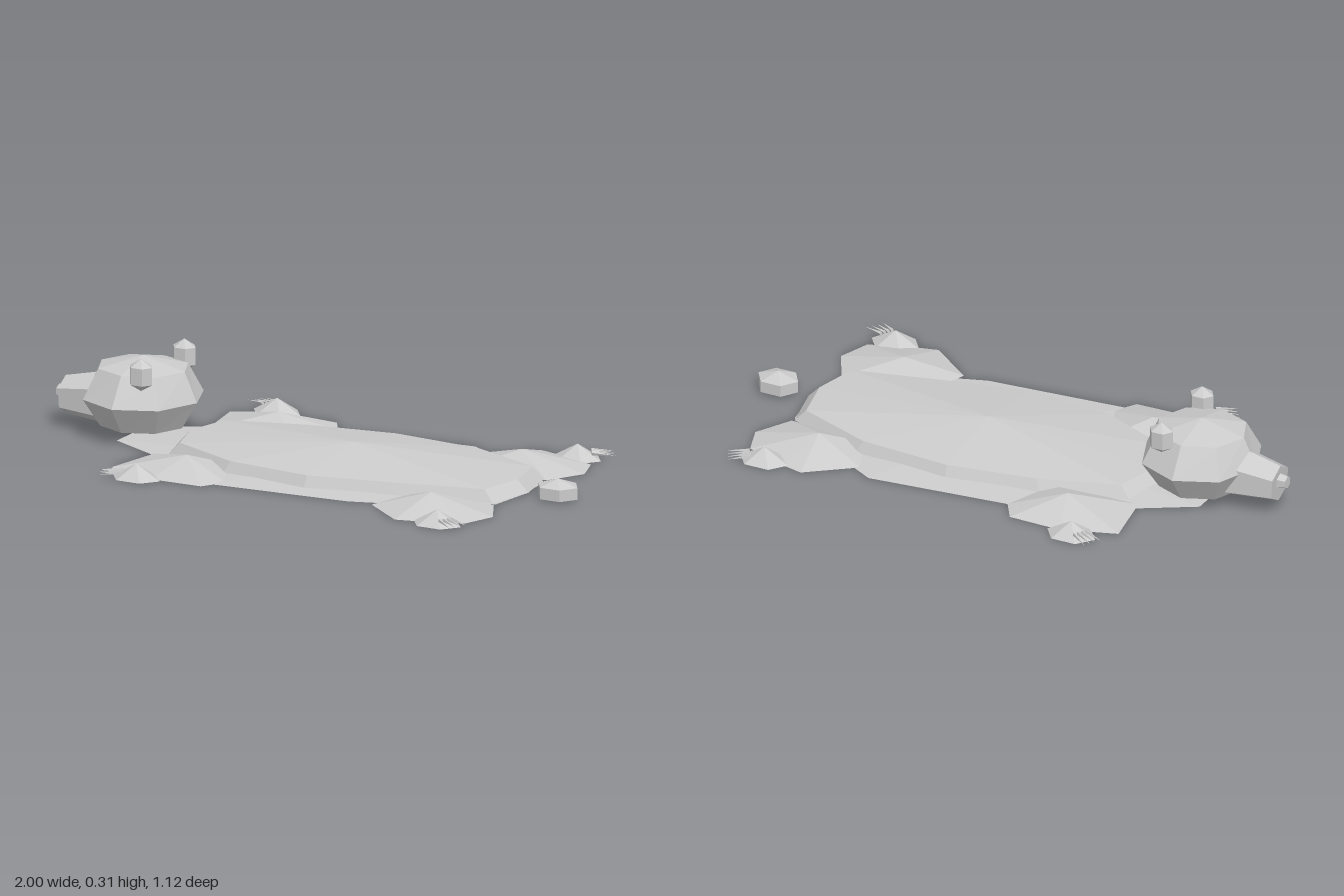
import * as THREE from 'three';

const fur = new THREE.MeshStandardMaterial({ color: 0xcccccc, flatShading: true });
fur.name = 'pale grey fur';

// Skin a stack of rings, bottom to top; each ring runs anticlockwise seen from above.
// A ring of one point is a tip.
function loft(rings) {
  const n = Math.max(...rings.map(r => r.length));
  const at = (ring, i) => ring.length === 1 ? ring[0] : ring[i % n];
  const v = [];
  for (let k = 0; k + 1 < rings.length; k++) {
    const lo = rings[k], hi = rings[k + 1];
    for (let i = 0; i < n; i++) {
      if (lo.length > 1) v.push(...at(lo, i), ...at(lo, i + 1), ...at(hi, i + 1));
      if (hi.length > 1) v.push(...at(lo, i), ...at(hi, i + 1), ...at(hi, i));
    }
  }
  const g = new THREE.BufferGeometry();
  g.setAttribute('position', new THREE.Float32BufferAttribute(v, 3));
  g.computeVertexNormals();
  return g;
}

// Regular ring around a vertical axis
function ring(cx, y, cz, rx, rz, n) {
  return Array.from({ length: n }, (_, i) => {
    const a = i / n * Math.PI * 2;
    return [cx + rx * Math.cos(a), y, cz - rz * Math.sin(a)];
  });
}

// Low mound with a flat underside; outline holds [x, z] pairs on the floor
function mound(outline, x, y, z) {
  return loft([[[x, 0, z]], outline.map(p => [p[0], 0, p[1]]), [[x, y, z]]]);
}

const mirror = outline => outline.map(([x, z]) => [x, -z]).reverse();

export function createModel() {
  const model = new THREE.Group();
  const add = (name, geometry) => {
    const mesh = new THREE.Mesh(geometry, fur);
    mesh.name = name;
    model.add(mesh);
    return mesh;
  };

  // Flat pelt under everything
  add('pelt', mound([
    [0.8, 0], [0.78, -0.16], [0.43, -0.39], [0.36, -0.43], [-0.15, -0.38], [-0.52, -0.22], [-0.72, -0.1],
    [-0.72, 0.1], [-0.52, 0.2], [-0.17, 0.42], [0.33, 0.38], [0.42, 0.35], [0.78, 0.17],
  ], 0.13, 0.035, 0));

  // Raised back with a bevelled rim
  const rim = [
    [0.81, 0], [0.77, -0.18], [0.48, -0.295], [0.13, -0.32], [-0.2, -0.265], [-0.49, -0.17],
    [-0.53, 0], [-0.48, 0.17], [-0.2, 0.295], [0.13, 0.325], [0.44, 0.255], [0.77, 0.17],
  ];
  add('back', loft([
    rim.map(([x, z]) => [x, 0.004, z]),
    rim.map(([x, z]) => [0.13 + (x - 0.13) * 0.94, 0.045, z * 0.94]),
    [[0.13, 0.09, 0]],
  ]));

  const frontLeg = [
    [-0.14, -0.38], [-0.19, -0.46], [-0.38, -0.465], [-0.57, -0.4], [-0.53, -0.18], [-0.2, -0.17],
  ];
  const hindLeg = [
    [0.85, -0.31], [0.81, -0.425], [0.66, -0.48], [0.58, -0.5], [0.42, -0.375], [0.46, -0.2], [0.78, -0.18],
  ];

  for (const s of [-1, 1]) {
    const side = s < 0 ? 'right' : 'left';
    const place = outline => s < 0 ? outline : mirror(outline);

    // Spread legs
    add(side + 'FrontLeg', mound(place(frontLeg), -0.33, 0.055, s * 0.31));
    add(side + 'HindLeg', mound(place(hindLeg), 0.61, 0.055, s * 0.31));

    // Paws and their claws
    for (const [name, x, dir] of [['FrontPaw', -0.43, -1], ['HindPaw', 0.73, 1]]) {
      const z = s * 0.475;
      add(side + name, loft([
        [[x, 0, z]], ring(x, 0, z, 0.09, 0.068, 6), [[x, 0.05, z]],
      ]));
      for (let i = 0; i < 4; i++) {
        const tip = new THREE.Vector3(x + dir * (0.13 - i * 0.012), 0.018, s * (0.505 + i * 0.018));
        const root = new THREE.Vector3(x + dir * (0.055 - i * 0.008), 0.024, s * (0.475 + i * 0.012));
        const d = tip.clone().sub(root);
        const claw = add(side + name + 'Claw', new THREE.ConeGeometry(0.007, d.length(), 4));
        claw.position.copy(root).add(tip).multiplyScalar(0.5);
        claw.quaternion.setFromUnitVectors(new THREE.Vector3(0, 1, 0), d.normalize());
      }
    }

    // Ears
    const ez = s * 0.147;
    add(side + 'Ear', loft([
      [[-0.6, 0.2, ez]], ring(-0.6, 0.225, ez, 0.043, 0.037, 6),
      ring(-0.6, 0.285, ez, 0.043, 0.037, 6), [[-0.6, 0.312, ez]],
    ]));
  }

  // Faceted head
  const hx = -0.675;
  add('head', loft([
    [[hx, 0.006, 0]], ring(hx, 0.045, 0, 0.15, 0.15, 8), ring(hx, 0.14, 0, 0.207, 0.215, 8),
    ring(hx, 0.242, 0, 0.16, 0.15, 8), [[hx, 0.28, 0]],
  ]));

  // Tapered snout with a small nose
  const taper = (name, x0, x1, y, r0, r1, tilt) => {
    const mesh = add(name, new THREE.CylinderGeometry(r1, r0, x0 - x1, 6).rotateY(Math.PI / 6).rotateZ(Math.PI / 2));
    mesh.position.set((x0 + x1) / 2, y, 0);
    mesh.rotation.z = tilt;
  };
  taper('snout', -0.78, -0.97, 0.109, 0.098, 0.066, 0.06);
  taper('nose', -0.96, -1.0, 0.113, 0.03, 0.022, 0);

  // Stubby tail
  add('tail', loft([
    [[0.925, 0.005, 0]], ring(0.925, 0.006, 0, 0.075, 0.065, 6),
    ring(0.925, 0.046, 0, 0.075, 0.065, 6), [[0.925, 0.07, 0]],
  ]));

  return model;
}
